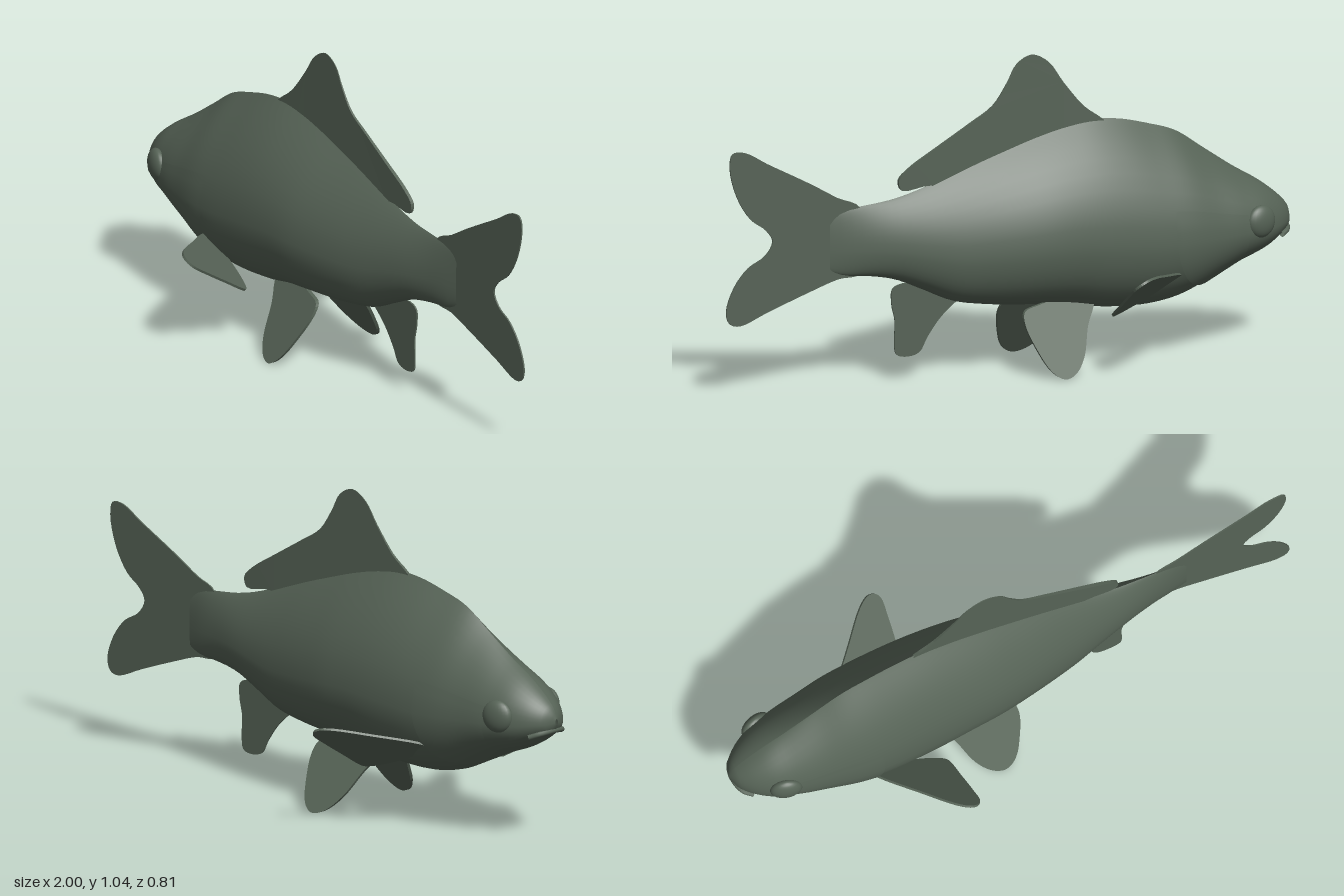
import * as THREE from 'three';

// body stations: x, top y, bottom y, half width
const STATIONS = [
  [-1, .43, .41, .006], [-.99, .457, .388, .035], [-.97, .482, .37, .062], [-.9, .54, .325, .112],
  [-.8, .602, .285, .143], [-.7, .67, .24, .16], [-.6, .738, .197, .175], [-.5, .772, .177, .181],
  [-.4, .797, .176, .181], [-.3, .805, .185, .178], [-.2, .793, .203, .172], [-.1, .77, .212, .163],
  [0, .74, .22, .146], [.1, .708, .232, .125], [.2, .672, .252, .102], [.3, .636, .298, .078],
  [.4, .61, .342, .056], [.5, .598, .363, .033], [.58, .59, .372, .017], [.63, .57, .39, .005],
];
const spline = new THREE.CubicInterpolant(
  STATIONS.map(s => s[0]), STATIONS.flatMap(s => s.slice(1)), 3, new Float32Array(3));

// point on the skin: position along the body and angle round the section
function skin(x, a, lift = 0) {
  const [top, bottom, w] = spline.evaluate(x);
  const mid = bottom + (top - bottom) * .38;
  const s = Math.sin(a), c = Math.cos(a);
  // sharp back, round belly, rounder towards the snout and tail
  const ridge = 1 + 1.1 * THREE.MathUtils.smoothstep(x, -1, -.55) - .5 * THREE.MathUtils.smoothstep(x, 0, .6);
  const z = Math.sign(c) * Math.pow(Math.abs(c), s > 0 ? ridge : 1) * w;
  return [x, mid + s * (s > 0 ? top - mid : mid - bottom) + s * lift, z + c * lift];
}

// grid surface from a rule of u, v in 0..1
function surface(nu, nv, rule) {
  const pos = [], index = [];
  for (let i = 0; i <= nu; i++) for (let j = 0; j <= nv; j++) pos.push(...rule(i / nu, j / nv));
  for (let i = 0; i < nu; i++) for (let j = 0; j < nv; j++) {
    const a = i * (nv + 1) + j, b = a + nv + 1;
    index.push(a, b, b + 1, a, b + 1, a + 1);
  }
  const g = new THREE.BufferGeometry();
  g.setAttribute('position', new THREE.Float32BufferAttribute(pos, 3));
  g.setIndex(index);
  g.computeVertexNormals();
  return g;
}

// thin plate with a smooth outline
function finPlate(points, thickness) {
  const curve = new THREE.CatmullRomCurve3(points.map(p => new THREE.Vector3(p[0], p[1], 0)), true, 'centripetal');
  const shape = new THREE.Shape(curve.getPoints(points.length * 4).slice(0, -1).map(p => new THREE.Vector2(p.x, p.y)));
  return new THREE.ExtrudeGeometry(shape, { depth: thickness, bevelEnabled: false }).translate(0, 0, -thickness / 2);
}

export function createModel() {
  const fish = new THREE.Group();
  fish.name = 'fish';
  const scales = new THREE.MeshStandardMaterial({ color: 0x566356, side: THREE.DoubleSide });
  scales.name = 'dullGreen';
  const add = (name, geometry, mirrored) => {
    const m = new THREE.Mesh(geometry, scales);
    m.name = name;
    if (mirrored) m.scale.z = -1;
    fish.add(m);
    return m;
  };
  const addPair = (name, geometry) => {
    add(name + 'Left', geometry);
    add(name + 'Right', geometry, true);
  };

  // body, with rings packed closer at the snout
  add('body', surface(64, 40, (u, v) =>
    skin(-1 + 1.63 * Math.pow(u, 1.4), Math.PI / 2 + v * Math.PI * 2)));

  // gill covers: skin lifted slightly, ending in a curved rear edge
  addPair('gillCover', surface(14, 16, (u, v) => {
    const a = -1.3 + 1.6 * v;
    const rear = -.525 - .1 * (a - .1) ** 2;
    return skin(-.8 + (rear + .8) * u, a, .007 * u * Math.sin(Math.PI * Math.min(1, v * .6 + .4)));
  }));

  // eyes
  addPair('eye', new THREE.SphereGeometry(.054, 24, 16).scale(1, 1, .5)
    .rotateY(-.25).translate(-.85, .435, .12));

  // lower lip
  add('lip', new THREE.TubeGeometry(new THREE.CatmullRomCurve3(
    [[-.945, .372, -.075], [-.975, .384, -.05], [-.988, .39, 0], [-.975, .384, .05], [-.945, .372, .075]]
      .map(p => new THREE.Vector3(...p))), 24, .009, 8));

  // tail fin
  add('tailFin', finPlate([
    [.52, .59], [.6, .632], [.7, .69], [.85, .77], [.93, .815], [.975, .815], [.985, .77], [.96, .67],
    [.91, .59], [.855, .548], [.833, .51], [.86, .465], [.92, .43], [.97, .37], [.998, .29], [.985, .25],
    [.95, .24], [.85, .277], [.7, .33], [.6, .362], [.52, .375]], .005));

  // dorsal fin, thinning upwards
  const dorsal = finPlate([
    [-.35, .785], [-.27, .855], [-.2, .94], [-.15, 1.01], [-.09, 1.041], [-.035, 1.015], [0, .955],
    [.05, .885], [.13, .835], [.25, .765], [.35, .705], [.385, .67], [.375, .635], [.27, .642],
    [.2, .61], [0, .69], [-.2, .74]], .012);
  const dp = dorsal.attributes.position;
  for (let i = 0; i < dp.count; i++)
    dp.setZ(i, dp.getZ(i) * THREE.MathUtils.clamp(1 - (dp.getY(i) - .75) / .32, .2, 1));
  dorsal.computeVertexNormals();
  add('dorsalFin', dorsal);

  // anal fin
  add('analFin', finPlate([
    [.15, .27], [.19, .24], [.24, .195], [.285, .135], [.31, .092], [.35, .08], [.393, .09], [.4, .14],
    [.398, .2], [.41, .26], [.407, .31], [.37, .325], [.31, .318], [.27, .34], [.2, .32]], .005));

  // pectoral fins: drawn in root-to-tip and root-to-rear coordinates, then placed on the flank
  const pectoral = finPlate([
    [-.12, .05], [0, -.01], [.5, -.03], [.88, -.03], [.99, .02], [1.01, .1], [.95, .24], [.7, .46],
    [.35, .74], [.1, .94], [0, .99], [-.08, .9], [-.18, .45]], .008);
  pectoral.applyMatrix4(new THREE.Matrix4().makeBasis(
    new THREE.Vector3(.21, .055, .235), new THREE.Vector3(.24, -.115, 0), new THREE.Vector3(-.37, -.77, .52))
    .setPosition(-.54, .3, .165));
  // keep the plate facing outwards after the skewed placement
  pectoral.computeVertexNormals();
  addPair('pectoralFin', pectoral);

  // pelvic fins, splayed outwards by a shear
  const pelvic = finPlate([
    [-.285, .22], [-.24, .145], [-.2, .06], [-.155, .015], [-.11, .004], [-.07, .03], [-.035, .1],
    [-.016, .17], [-.025, .207], [-.08, .222], [-.18, .235]], .012);
  const pp = pelvic.attributes.position;
  for (let i = 0; i < pp.count; i++)
    pp.setZ(i, pp.getZ(i) + .068 + (.21 - pp.getY(i)) * .68 + (pp.getX(i) + .13) * .1);
  pelvic.computeVertexNormals();
  addPair('pelvicFin', pelvic);

  return fish;
}
